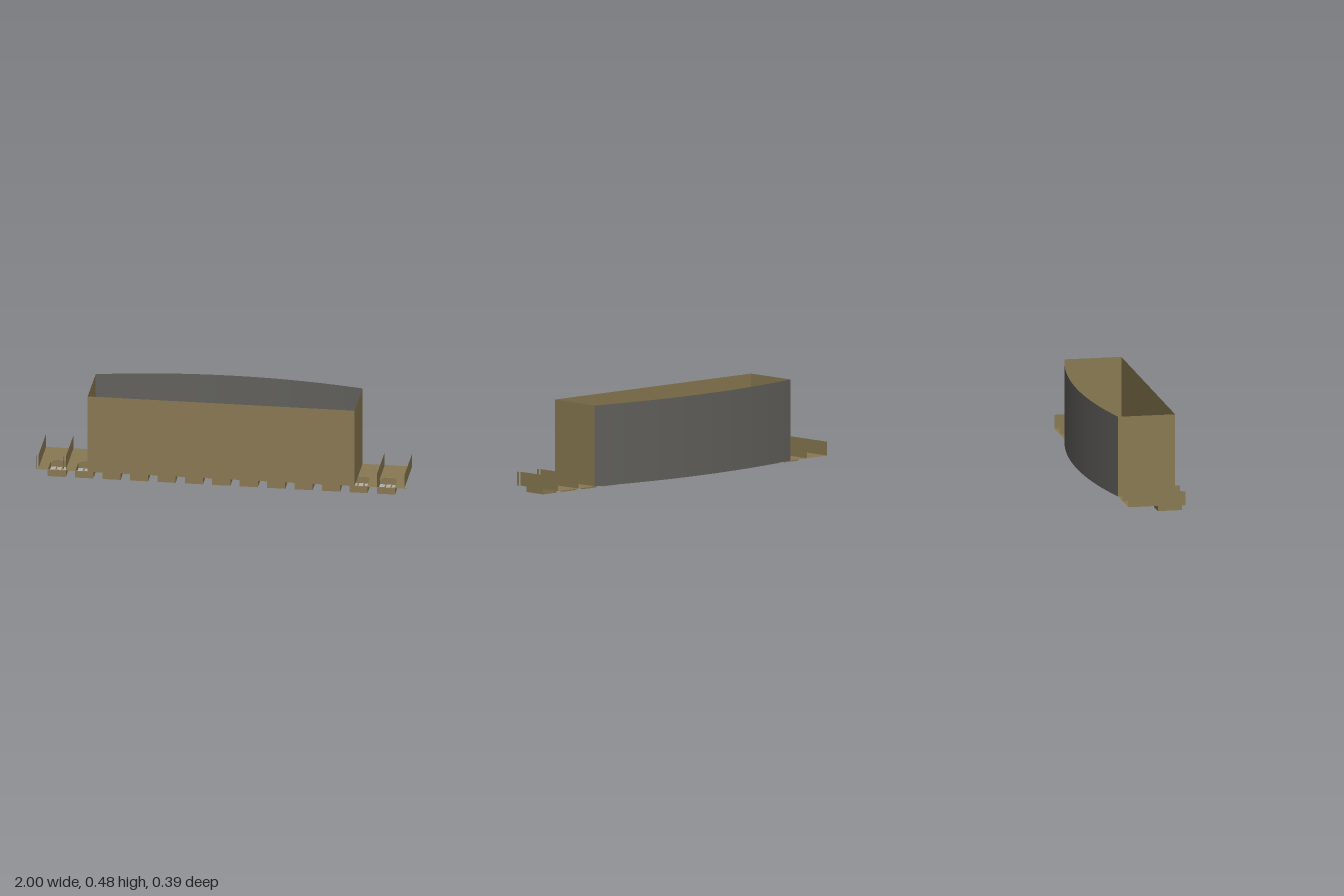
import * as THREE from 'three';

const material = (name, color) => {
  const m = new THREE.MeshStandardMaterial({ color, side: THREE.DoubleSide });
  m.name = name;
  return m;
};

export function createModel() {
  const stone = material('sandstone', 0x897952);
  const grey = material('dark grey', 0x62615d);
  const glass = material('pale glass', 0xb2b2ac);
  const model = new THREE.Group();

  const base = 0.04, top = 0.477, lowTop = 0.115;
  const front = 0.195, back = -0.115;
  const pitch = 0.148, halfBay = 0.049, bayBack = 0.057, bayFront = 0.188;

  const add = (name, geometry, mat, x = 0, y = 0, z = 0, parent = model) => {
    const mesh = new THREE.Mesh(geometry, mat);
    mesh.name = name;
    mesh.position.set(x, y, z);
    parent.add(mesh);
    return mesh;
  };
  // Thin sheets: facing z, facing x and facing up
  const sheetZ = (name, mat, x0, x1, y0, y1, z, parent) =>
    add(name, new THREE.PlaneGeometry(x1 - x0, y1 - y0), mat, (x0 + x1) / 2, (y0 + y1) / 2, z, parent);
  const sheetX = (name, mat, x, y0, y1, z0, z1, parent) =>
    add(name, new THREE.PlaneGeometry(z1 - z0, y1 - y0).rotateY(Math.PI / 2), mat, x, (y0 + y1) / 2, (z0 + z1) / 2, parent);
  const sheetY = (name, mat, x0, x1, y, z0, z1, parent) =>
    add(name, new THREE.PlaneGeometry(x1 - x0, z1 - z0).rotateX(-Math.PI / 2), mat, (x0 + x1) / 2, y, (z0 + z1) / 2, parent);

  // Floor sheet with arched openings (shape y is -z)
  const floor = new THREE.Shape([
    [-0.988, -front], [0.988, -front], [0.988, -back], [-0.988, -back],
  ].map(p => new THREE.Vector2(...p)));
  const r = 0.047, spring = 0.1;
  for (let i = -6; i <= 6; i++) {
    const x = i * pitch, hole = new THREE.Path();
    hole.moveTo(x - r, -bayFront);
    hole.lineTo(x - r, -spring);
    hole.absarc(x, -spring, r, Math.PI, 0, true);
    hole.lineTo(x + r, -bayFront);
    hole.closePath();
    floor.holes.push(hole);
  }
  add('archedFloor', new THREE.ShapeGeometry(floor, 10).rotateX(-Math.PI / 2), stone, 0, base, 0);

  // Window bays hanging below the floor
  for (let i = -6; i <= 6; i++) {
    const bay = new THREE.Group();
    bay.name = 'windowBay';
    bay.position.x = i * pitch;
    model.add(bay);
    sheetY('windowPane', glass, -halfBay, halfBay, 0.001, bayBack, bayFront, bay);
    for (const s of [-1, 1]) sheetX('baySide', stone, s * halfBay, 0, base, bayBack, bayFront, bay);
    for (const z of [bayBack, bayFront]) sheetZ('bayEnd', stone, -halfBay, halfBay, 0, base, z, bay);
    // Glazing bars
    const upright = new THREE.BoxGeometry(0.006, 0.005, 0.128);
    const crossBar = new THREE.BoxGeometry(0.094, 0.005, 0.006);
    for (const x of [-0.016, 0.016]) add('glazingBar', upright, stone, x, 0.006, 0.123, bay);
    for (const z of [0.125, 0.16]) add('crossBar', crossBar, stone, 0, 0.006, z, bay);
  }

  // Tall open shell: front, two ends and the shallow curved back
  const w = 0.72, bulge = 0.08;
  sheetZ('frontWall', stone, -w, w, base, top, front);
  for (const s of [-1, 1]) sheetX('endWall', stone, s * w, base, top, back, front);
  const radius = (w * w + bulge * bulge) / (2 * bulge);
  const angle = Math.asin(w / radius);
  add('curvedBackWall',
    new THREE.CylinderGeometry(radius, radius, top - base, 32, 1, true, Math.PI - angle, 2 * angle),
    grey, 0, (base + top) / 2, back - bulge + radius);

  // Low cross walls, each with a narrow pilaster at the front
  for (const s of [-1, 1]) {
    for (let i = 0; i < 7; i++) {
      const x = 0.988 - i * pitch;
      sheetX('crossWall', stone, s * x, base, lowTop, back, 0.18);
      sheetX('pilasterSide', stone, s * (x + 0.011), base, lowTop, 0.18, front);
    }
    sheetY('pilasterFoot', stone, s > 0 ? 0.988 : -1, s > 0 ? 1 : -0.988, base, 0.18, front);
  }
  return model;
}
